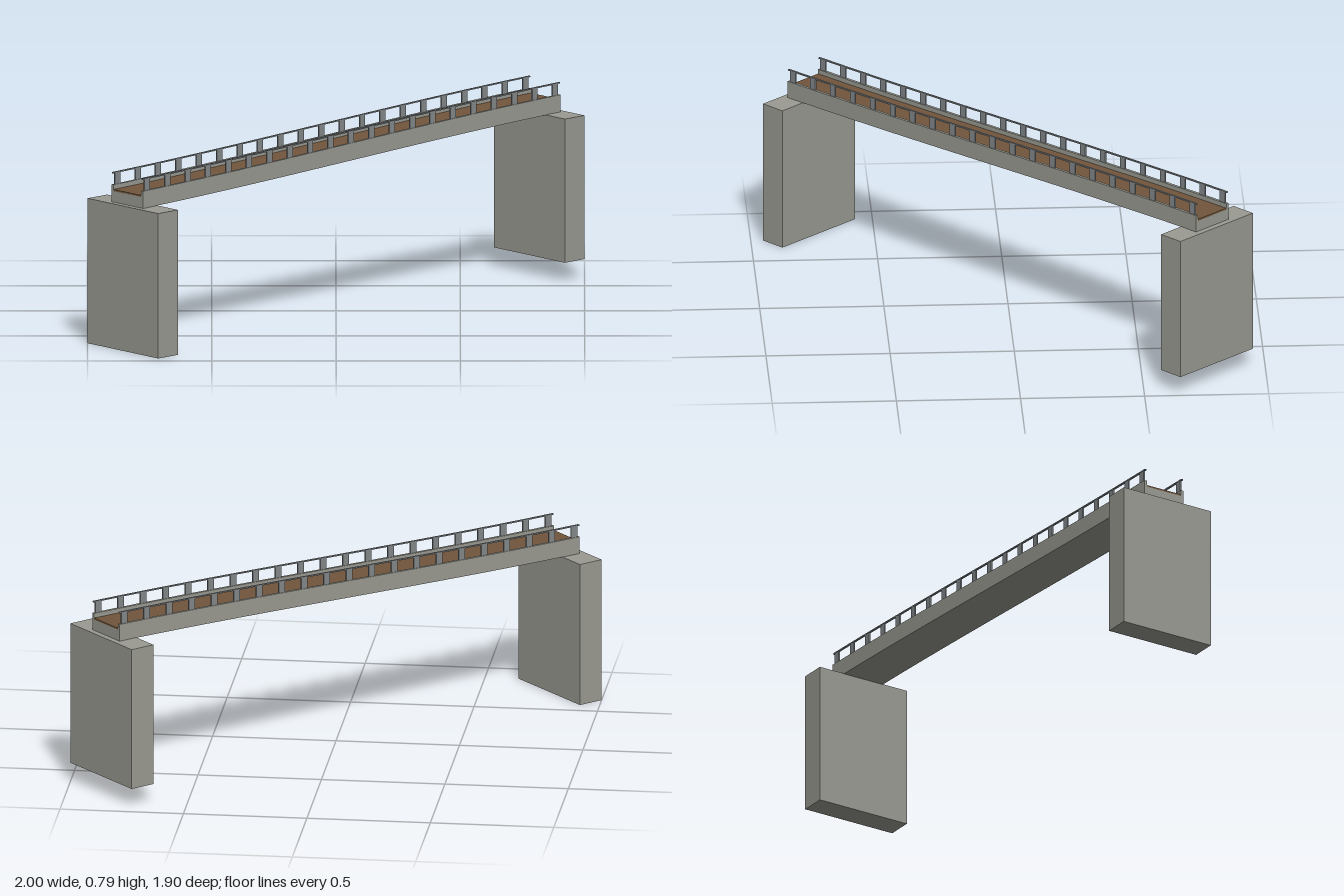
import * as THREE from 'three';

const HALF = 1.146;      // half length of the deck
const WIDTH = 0.187;     // full deck width
const LOW = 0.595, HIGH = 0.67; // underside height at either end

// Underside height along the span, easing gently at both ends
function spanHeight(x) {
  const t = THREE.MathUtils.clamp((x + HALF) / (2 * HALF), 0, 1);
  const s = t * t * (3 - 2 * t);
  return LOW + (HIGH - LOW) * (0.5 * t + 0.5 * s);
}

export function createModel() {
  const model = new THREE.Group();
  const bridge = new THREE.Group();
  bridge.name = 'bridge';
  bridge.rotation.y = THREE.MathUtils.degToRad(42.9);
  model.add(bridge);

  const mat = (name, color) => {
    const m = new THREE.MeshStandardMaterial({ color });
    m.name = name;
    return m;
  };
  const concrete = mat('concrete', 0x9a9a92);
  const planks = mat('brown roadway', 0x72563c);
  const steel = mat('grey steel', 0x83888a);

  const add = (name, geometry, material) => {
    const mesh = new THREE.Mesh(geometry, material);
    mesh.name = name;
    bridge.add(mesh);
    return mesh;
  };

  // Long box that follows the rising span; y0 and y1 are above the underside
  const strip = (name, width, y0, y1, z, material) => {
    const g = new THREE.BoxGeometry(2 * HALF, y1 - y0, width, 20, 1, 1);
    g.translate(0, (y0 + y1) / 2, z);
    const p = g.attributes.position;
    for (let i = 0; i < p.count; i++) p.setY(i, p.getY(i) + spanHeight(p.getX(i)));
    g.computeVertexNormals();
    return add(name, g, material);
  };

  // Deck and road surface
  strip('deck', WIDTH, 0, 0.046, 0, concrete);
  strip('roadway', WIDTH - 0.024, 0.045, 0.052, 0, planks);

  // Curbs, rails and posts on both sides
  const posts = 21;
  for (const side of [-1, 1]) {
    const z = side * (WIDTH / 2 - 0.006);
    strip('curb', 0.012, 0.046, 0.071, z, concrete);
    strip('handrail', 0.008, 0.117, 0.122, z, steel);
    for (let i = 0; i < posts; i++) {
      const x = -HALF + 0.025 + (i * (2 * HALF - 0.05)) / (posts - 1);
      const post = add('railPost', new THREE.BoxGeometry(0.03, 0.049, 0.006), steel);
      post.position.set(x, spanHeight(x) + 0.0945, z);
    }
  }

  // Abutments at both ends
  for (const [name, x, y0, y1] of [['lowAbutment', -1.117, 0, LOW], ['highAbutment', 1.117, 0.08, HIGH]]) {
    const block = add(name, new THREE.BoxGeometry(0.108, y1 - y0, 0.418), concrete);
    block.position.set(x, (y0 + y1) / 2, 0);
  }

  return model;
}
